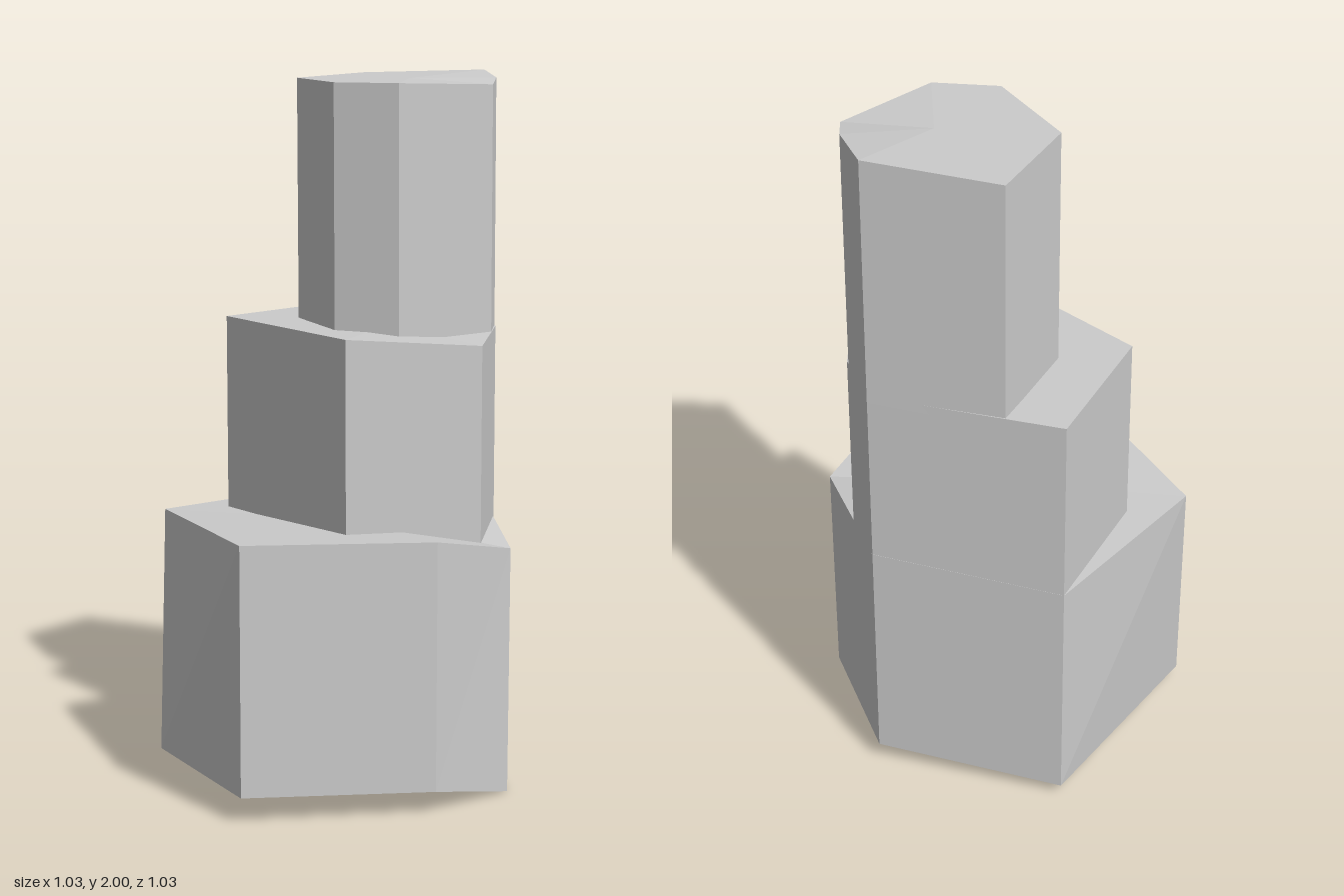
import * as THREE from 'three';

// Top corners [x, y, z], running clockwise seen from above.
const lowerTop = [
  [-0.17, 0.735, -0.51], [0.36, 0.76, -0.375], [0.515, 0.70, 0.06],
  [0.355, 0.765, 0.315], [-0.145, 0.775, 0.515], [-0.515, 0.74, -0.06],
];
const middleTop = [
  [-0.17, 1.29, -0.505], [0.36, 1.29, -0.37], [0.425, 1.285, -0.2],
  [0.43, 1.265, 0.06], [0.09, 1.30, 0.265], [-0.345, 1.30, -0.13],
];
const upperTop = [
  [-0.01, 1.985, -0.447], [0.36, 2.0, -0.358], [0.42, 1.985, -0.2],
  [0.425, 1.97, -0.11], [0.2, 1.98, 0.09], [0.015, 1.98, 0.075], [-0.145, 1.98, -0.17],
];

// Foot of a column: the top dropped by a height, leaning slightly to the back.
const foot = (top, height, lean) => top.map(([x, y, z]) => [x, y - height, z - lean * height]);

// Closed faceted prism between two rings, with caps fanned from their centres.
function column(name, top, bottom, material) {
  const n = top.length;
  const centre = ring => [0, 1, 2].map(k => ring.reduce((s, p) => s + p[k], 0) / n);
  const ct = centre(top), cb = centre(bottom);
  const pos = [];
  for (let i = 0; i < n; i++) {
    const j = (i + 1) % n;
    pos.push(...top[i], ...top[j], ...bottom[j]);
    pos.push(...top[i], ...bottom[j], ...bottom[i]);
    pos.push(...ct, ...top[j], ...top[i]);
    pos.push(...cb, ...bottom[i], ...bottom[j]);
  }
  const geometry = new THREE.BufferGeometry();
  geometry.setAttribute('position', new THREE.Float32BufferAttribute(pos, 3));
  geometry.computeVertexNormals();
  const mesh = new THREE.Mesh(geometry, material);
  mesh.name = name;
  return mesh;
}

export function createModel() {
  const group = new THREE.Group();
  group.name = 'steppedRockColumn';
  const stone = new THREE.MeshStandardMaterial({ color: 0xcccccc, flatShading: true });

  // Lower block: its left and right corners twist a little towards the foot
  const lowerFoot = foot(lowerTop, 0.7, 0);
  lowerFoot[0][2] = -0.515;
  lowerFoot[1][2] = -0.38;
  lowerFoot[2][2] = 0.07;
  lowerFoot[5][2] = 0.01;
  group.add(column('lowerBlock', lowerTop, lowerFoot, stone));

  // Middle and upper blocks sink slightly into the one beneath
  group.add(column('middleBlock', middleTop, foot(middleTop, 0.6, 0.008), stone));
  group.add(column('upperBlock', upperTop, foot(upperTop, 0.73, 0.02), stone));
  return group;
}
